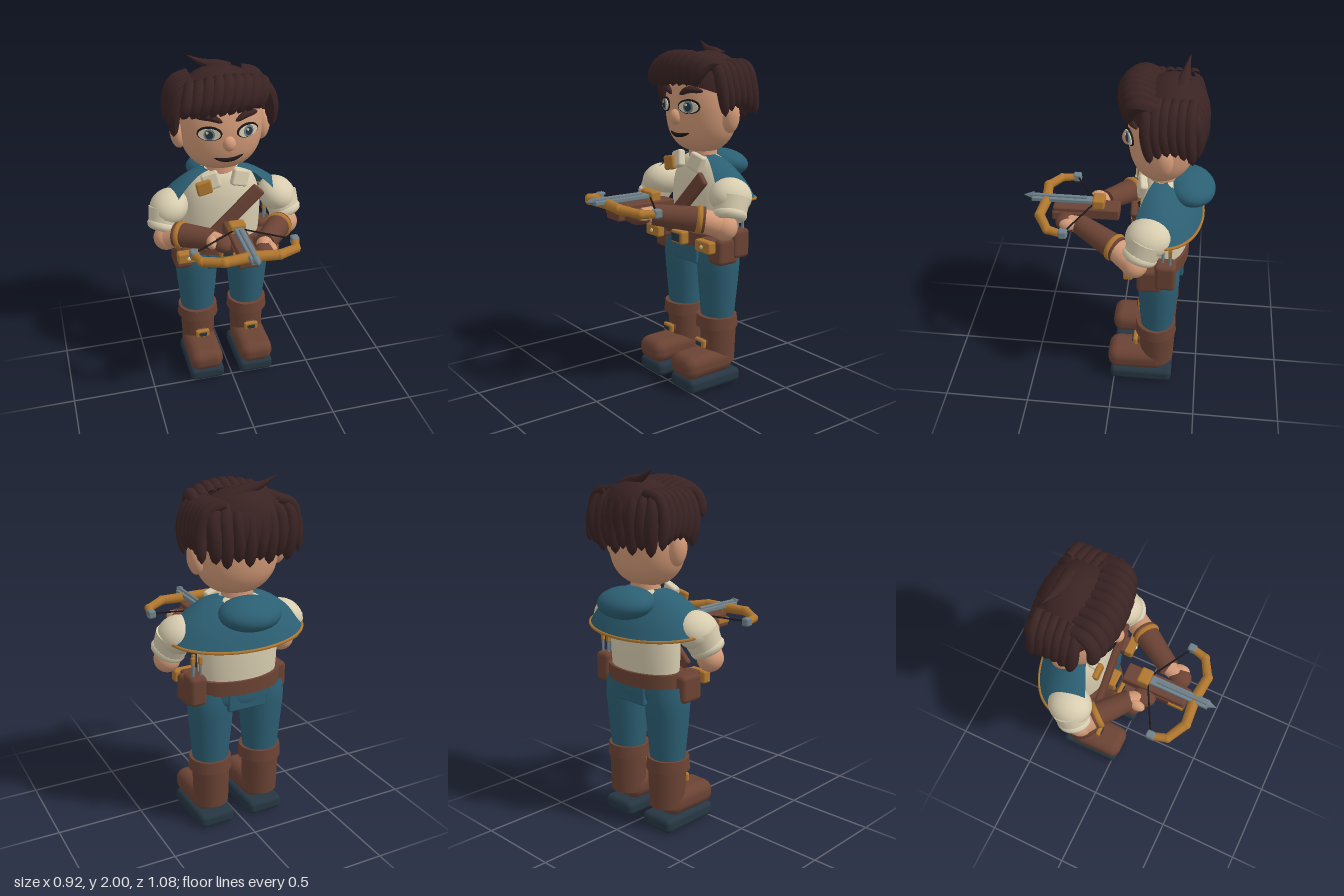
import * as THREE from 'three';
import { RoundedBoxGeometry } from 'three/addons/geometries/RoundedBoxGeometry.js';

const mat = (name, color, side = THREE.FrontSide) => {
  const m = new THREE.MeshStandardMaterial({ color, side });
  m.name = name;
  return m;
};
const V = (p) => new THREE.Vector3(...p);

export function createModel() {
  const root = new THREE.Group();
  root.name = 'crossbowAdventurer';
  const skin = mat('skin', 0xd49b78), hair = mat('hair', 0x3a2323), teal = mat('teal', 0x2c5f73, THREE.DoubleSide);
  const cream = mat('cream', 0xd8cdb0), brown = mat('leather', 0x6b4334), gold = mat('gold', 0xb0772f);
  const navy = mat('navy', 0x263642), steel = mat('steel', 0x70818a), black = mat('black', 0x1c1718);

  // Helpers
  const add = (name, geo, material, pos = [0, 0, 0], rot = [0, 0, 0], scale = [1, 1, 1]) => {
    const m = new THREE.Mesh(geo, material);
    m.name = name;
    m.position.set(...pos);
    m.rotation.set(...rot);
    m.scale.set(...scale);
    root.add(m);
    return m;
  };
  const box = (name, material, size, pos, rot, r = 0.012) =>
    add(name, new RoundedBoxGeometry(...size, 2, Math.min(r, Math.min(...size) * 0.45)), material, pos, rot);
  const ball = (name, material, radii, pos, rot) =>
    add(name, new THREE.SphereGeometry(1, 28, 18), material, pos, rot, radii);
  const lathe = (name, material, pts, pos, zScale) =>
    add(name, new THREE.LatheGeometry(new THREE.SplineCurve(pts.map((p) => new THREE.Vector2(...p))).getPoints(24), 36),
      material, pos, [0, 0, 0], [1, 1, zScale]);
  const limb = (name, material, a, b, ra, rb = ra, sides = 20) => {
    const p = V(a), d = V(b).sub(p);
    const m = add(name, new THREE.CylinderGeometry(rb, ra, d.length(), sides), material);
    m.position.copy(p).addScaledVector(d, 0.5);
    m.quaternion.setFromUnitVectors(new THREE.Vector3(0, 1, 0), d.normalize());
    return m;
  };
  const ring = (name, material, at, dir, r, tube, squash = 1) => {
    const m = add(name, new THREE.TorusGeometry(r, tube, 10, 28), material, at, [0, 0, 0], [1, 1, squash]);
    m.quaternion.setFromUnitVectors(new THREE.Vector3(0, 0, 1), V(dir).normalize());
    return m;
  };
  // Tube whose radius follows a rule along its length
  const taper = (name, material, pts, r, rule) => {
    const curve = new THREE.CatmullRomCurve3(pts.map(V)), n = 14, k = 10;
    const g = new THREE.TubeGeometry(curve, n, r, k);
    const pos = g.attributes.position, v = new THREE.Vector3();
    for (let i = 0; i <= n; i++) {
      const c = curve.getPointAt(i / n), f = rule(i / n);
      for (let j = 0; j <= k; j++) {
        const q = i * (k + 1) + j;
        v.fromBufferAttribute(pos, q).sub(c).multiplyScalar(f).add(c);
        pos.setXYZ(q, v.x, v.y, v.z);
      }
    }
    g.computeVertexNormals();
    return add(name, g, material);
  };
  const lockRule = (t) => (0.75 + 0.5 * t) * Math.sqrt(Math.max(0, 1 - t ** 3));
  const leafRule = (t) => Math.sqrt(Math.max(0, Math.sin(Math.PI * t)));

  // Legs and boots
  for (const s of [1, -1]) {
    lathe('trouserLeg', teal, [[0.1, 0.39], [0.11, 0.5], [0.123, 0.64], [0.13, 0.76], [0.12, 0.85]], [s * 0.16, 0, -0.25], 0.93);
    box('bootSole', navy, [0.215, 0.085, 0.375], [s * 0.158, 0.043, -0.165], [0, 0, 0], 0.03);
    box('bootFoot', brown, [0.21, 0.14, 0.35], [s * 0.16, 0.15, -0.135], [0.02, 0, 0], 0.06);
    add('bootShaft', new THREE.CylinderGeometry(0.108, 0.1, 0.26, 24), brown, [s * 0.16, 0.265, -0.255]);
    add('bootCuff', new THREE.CylinderGeometry(0.12, 0.126, 0.07, 28), brown, [s * 0.16, 0.39, -0.245], [0, 0, 0], [1, 1, 0.97]);
    box('bootStrap', brown, [0.06, 0.04, 0.06], [s * 0.158, 0.262, -0.15]);
    box('bootBuckle', gold, [0.088, 0.055, 0.028], [s * 0.158, 0.262, -0.125]);
    box('bootBuckleCentre', navy, [0.05, 0.024, 0.008], [s * 0.158, 0.262, -0.109], [0, 0, 0], 0.003);
  }

  // Hips, belt, pouches
  lathe('hips', teal, [[0.2, 0.75], [0.235, 0.79], [0.24, 0.88]], [0, 0, -0.26], 0.57);
  box('trouserFlap', teal, [0.23, 0.11, 0.27], [0, 0.79, -0.255]);
  lathe('torso', cream, [[0.225, 0.86], [0.235, 1.0], [0.235, 1.13], [0.215, 1.24], [0.16, 1.33], [0.07, 1.37]], [0, 0, -0.262], 0.59);
  add('belt', new THREE.CylinderGeometry(0.258, 0.258, 0.08, 40), brown, [0, 0.88, -0.26], [0, 0, 0], [1, 1, 0.59]);
  box('beltBuckle', gold, [0.108, 0.078, 0.06], [0, 0.883, -0.09]);
  box('buckleCentre', navy, [0.072, 0.048, 0.008], [0, 0.883, -0.057], [0, 0, 0], 0.003);
  for (const s of [1, -1]) {
    box('pouch', brown, [0.115, 0.155, 0.145], [s * 0.255, 0.838, -0.205], [0, 0, 0], 0.025);
    box('beltTab', brown, [0.1, 0.07, 0.06], [s * 0.225, 0.88, -0.13]);
    box('pouchClasp', gold, [0.13, 0.07, 0.055], [s * 0.243, 0.877, -0.085]);
    ball('claspStud', cream, [0.012, 0.012, 0.006], [s * 0.243, 0.877, -0.056]);
  }
  // Bolt case
  box('boltCase', brown, [0.1, 0.17, 0.12], [0.272, 0.875, -0.292], [0, 0, 0], 0.025);
  for (let i = 0; i < 3; i++) {
    const x = 0.25 + i * 0.022, z = -0.315 + (i % 2) * 0.04;
    limb('spareBolt', steel, [x, 0.94, z], [x, 1.05, z], 0.008, 0.008, 8);
    box('spareBoltFletching', gold, [0.02, 0.045, 0.02], [x, 1.045, z], [0, 0, 0], 0.004);
  }

  // Chest strap, collar, badge
  box('chestStrap', brown, [0.085, 0.5, 0.035], [0.015, 1.085, -0.105], [0, 0, -0.8]);
  add('neck', new THREE.CylinderGeometry(0.085, 0.095, 0.15, 24), skin, [0, 1.36, -0.255], [0, 0, 0], [1, 1, 0.85]);
  for (const s of [1, -1])
    box('collarFlap', cream, [0.1, 0.1, 0.045], [s * 0.085, 1.328, -0.14], [-0.15, s * 0.2, s * -0.28], 0.014);
  box('badge', gold, [0.09, 0.085, 0.03], [-0.132, 1.302, -0.112], [0, 0, 0.2]);

  // Capelet open at the front, with trim and hood
  const open = 0.95, rows = 10, cols = 44, grid = [], index = [];
  const profile = new THREE.SplineCurve([[0.1, 1.365], [0.2, 1.335], [0.32, 1.25], [0.4, 1.155]].map((p) => new THREE.Vector2(...p)));
  const capePoint = (u, v) => {
    const a = open + u * (2 * Math.PI - 2 * open), p = profile.getPoint(v);
    return [Math.sin(a) * p.x, p.y + 0.035 * v * Math.cos(a), -0.24 + Math.cos(a) * p.x * 0.6];
  };
  for (let j = 0; j <= rows; j++) for (let i = 0; i <= cols; i++) {
    grid.push(...capePoint(i / cols, j / rows));
    if (i < cols && j < rows) {
      const a = j * (cols + 1) + i, b = a + cols + 1;
      index.push(a, b, a + 1, b, b + 1, a + 1);
    }
  }
  const capeGeo = new THREE.BufferGeometry();
  capeGeo.setAttribute('position', new THREE.Float32BufferAttribute(grid, 3));
  capeGeo.setIndex(index);
  capeGeo.computeVertexNormals();
  add('capelet', capeGeo, teal);
  const hem = Array.from({ length: 31 }, (_, i) => V(capePoint(i / 30, 1)));
  add('capeletTrim', new THREE.TubeGeometry(new THREE.CatmullRomCurve3(hem), 60, 0.009, 6), gold);
  ball('hood', teal, [0.175, 0.083, 0.14], [0, 1.298, -0.4], [-0.15, 0, 0]);

  // Sleeves and arms, each forearm with its own reach
  const arms = [
    { s: 1, start: [0.28, 1.05, -0.01], end: [0.135, 1.08, 0.2], hand: [0.115, 1.075, 0.275], thumb: [0.15, 1.085, 0.265] },
    { s: -1, start: [-0.285, 1.05, -0.055], end: [-0.13, 1.075, 0.08], hand: [-0.085, 1.075, 0.14], thumb: [-0.148, 1.085, 0.125] },
  ];
  for (const { s, start, end, hand, thumb } of arms) {
    const elbow = [s * 0.36, 1.005, -0.125];
    const dir = V(end).sub(V(start)), unit = dir.clone().normalize();
    const along = (d) => V(start).addScaledVector(unit, d).toArray();
    ball('sleeve', cream, [0.115, 0.1, 0.125], [s * 0.325, 1.165, -0.195], [0, 0, s * -0.5]);
    limb('lowerSleeve', cream, [s * 0.34, 1.16, -0.19], [s * 0.366, 1.06, -0.155], 0.105, 0.09);
    ring('sleeveCuff', cream, [s * 0.366, 1.07, -0.155], [s * 0.35, -1, 0.35], 0.067, 0.031);
    ball('elbow', skin, [0.074, 0.075, 0.074], elbow);
    limb('forearm', skin, elbow, start, 0.07, 0.066);
    limb('bracer', brown, along(-0.03), end, 0.074, 0.058);
    ring('bracerBand', gold, along(0.0), dir.toArray(), 0.066, 0.015, 1.2);
    limb('wrist', skin, end, hand, 0.046, 0.045);
    ball('glove', brown, [0.06, 0.046, 0.072], hand, [0, s * -0.35, 0]);
    ball('thumb', skin, [0.031, 0.036, 0.052], thumb, [0, s * 0.1, 0]);
    for (let i = 0; i < 3; i++)
      ball('finger', brown, [0.03, 0.019, 0.019], [hand[0] - s * 0.035, 1.065 - i * 0.005, hand[2] + 0.045 - i * 0.035]);
  }

  // Crossbow
  box('stock', brown, [0.11, 0.07, 0.38], [0, 1.095, 0.18]);
  box('stockFront', brown, [0.125, 0.06, 0.18], [0, 1.075, 0.285]);
  box('sidePlate', gold, [0.012, 0.03, 0.09], [-0.063, 1.085, 0.325], [0, 0, 0], 0.004);
  box('lockBlock', gold, [0.092, 0.06, 0.07], [0, 1.152, 0.11]);
  box('rail', steel, [0.054, 0.026, 0.35], [0, 1.155, 0.32], [0, 0, 0], 0.006);
  limb('bolt', steel, [0, 1.172, 0.18], [0, 1.172, 0.49], 0.011, 0.011, 8);
  limb('boltTip', steel, [0, 1.168, 0.485], [0, 1.168, 0.54], 0.024, 0.001, 6);
  for (const s of [1, -1]) {
    const bow = [[0, 1.142, 0.41], [s * 0.15, 1.14, 0.425], [s * 0.26, 1.125, 0.365], [s * 0.283, 1.12, 0.285]];
    for (let i = 0; i < 3; i++) {
      limb('bowLimb', gold, bow[i], bow[i + 1], 0.031 - i * 0.003, 0.028 - i * 0.003, 8);
      ball('bowJoint', gold, [0.029 - i * 0.003, 0.029 - i * 0.003, 0.029 - i * 0.003], bow[i + 1]);
    }
    box('bowTip', steel, [0.046, 0.05, 0.05], [s * 0.283, 1.122, 0.275]);
    limb('bowString', black, [s * 0.283, 1.125, 0.275], [s * 0.02, 1.15, 0.135], 0.005, 0.005, 6);
  }

  // Head and face
  lathe('head', skin, [[0, 1.375], [0.1, 1.388], [0.17, 1.43], [0.216, 1.5], [0.236, 1.6], [0.234, 1.7], [0.205, 1.8], [0.13, 1.87], [0, 1.9]], [0, 0, -0.24], 0.79);
  ball('nose', skin, [0.037, 0.045, 0.037], [0, 1.585, -0.057]);
  taper('mouth', black, [[-0.082, 1.496, -0.083], [-0.03, 1.483, -0.073], [0.03, 1.483, -0.073], [0.09, 1.5, -0.085]], 0.012, leafRule);
  const disc = (name, material, rx, ry, s, dx, y, lift) => {
    const m = add(name, new THREE.CylinderGeometry(1, 1, 0.008, 28).rotateX(Math.PI / 2), material, [0, y, 0], [0, s * 0.38, 0], [rx, ry, 1]);
    m.position.set(s * (0.105 + lift * 0.37) + dx * 0.93, y, -0.073 + lift * 0.93 - s * dx * 0.37);
  };
  for (const s of [1, -1]) {
    ball('ear', skin, [0.042, 0.088, 0.052], [s * 0.247, 1.59, -0.255], [0, 0, s * -0.12]);
    disc('eyeRim', black, 0.07, 0.041, s, 0, 1.65, 0.004);
    disc('eyeWhite', cream, 0.062, 0.033, s, 0, 1.647, 0.009);
    disc('iris', steel, 0.031, 0.033, s, 0, 1.648, 0.013);
    disc('pupil', navy, 0.021, 0.023, s, 0, 1.648, 0.017);
    disc('eyeGlint', cream, 0.007, 0.007, s, -0.01, 1.66, 0.02);
    taper('eyebrow', hair, [[s * 0.035, 1.712, -0.055], [s * 0.1, 1.742, -0.07], [s * 0.175, 1.735, -0.115]], 0.02, leafRule);
  }

  // Hair: cap, fringe, side locks, back locks, spike
  add('hairCap', new THREE.SphereGeometry(1, 36, 20, 0, Math.PI * 2, 0, Math.PI * 0.54), hair, [0, 1.715, -0.265], [-0.42, 0, 0], [0.258, 0.24, 0.205]);
  for (let i = 0; i < 9; i++) {
    const t = i / 8, x = -0.18 + t * 0.4, k = Math.abs(t - 0.5) * 2, y = 1.92 - 0.035 * k * k, z = 0.035 * k * k;
    taper('fringeLock', hair, [[x, y - 0.02, -0.19 - z], [x - 0.015, y, -0.08 - z], [x - 0.04, y - 0.06, -0.035 - z],
      [x - 0.075, 1.745 + 0.02 * t, -0.035 - z * 1.2]], 0.043, lockRule);
  }
  for (const s of [1, -1]) for (let i = 0; i < 6; i++) {
    const z = -0.165 - i * 0.043, low = 1.6 + 0.045 * Math.sin((i / 5) * Math.PI);
    taper('sideLock', hair, [[s * 0.15, 1.885, z - 0.01], [s * 0.235, 1.855, z], [s * 0.274, 1.76, z], [s * 0.28, low, z - 0.025]], 0.036, lockRule);
  }
  for (let i = 0; i < 8; i++) {
    const x = -0.215 + i * 0.0614, k = Math.abs(x) / 0.215;
    taper('backLock', hair, [[x * 0.8, 1.87, -0.36], [x, 1.82, -0.43 + 0.03 * k], [x * 1.02, 1.72, -0.45 + 0.03 * k],
      [x * 0.95, 1.56 + 0.03 * (i % 2), -0.445 + 0.035 * k]], 0.041, lockRule);
  }
  taper('hairSpike', hair, [[0.06, 1.9, -0.33], [0, 1.93, -0.335], [-0.08, 1.955, -0.345], [-0.165, 2.0, -0.36]], 0.048, (t) => 1.02 - t);
  return root;
}
